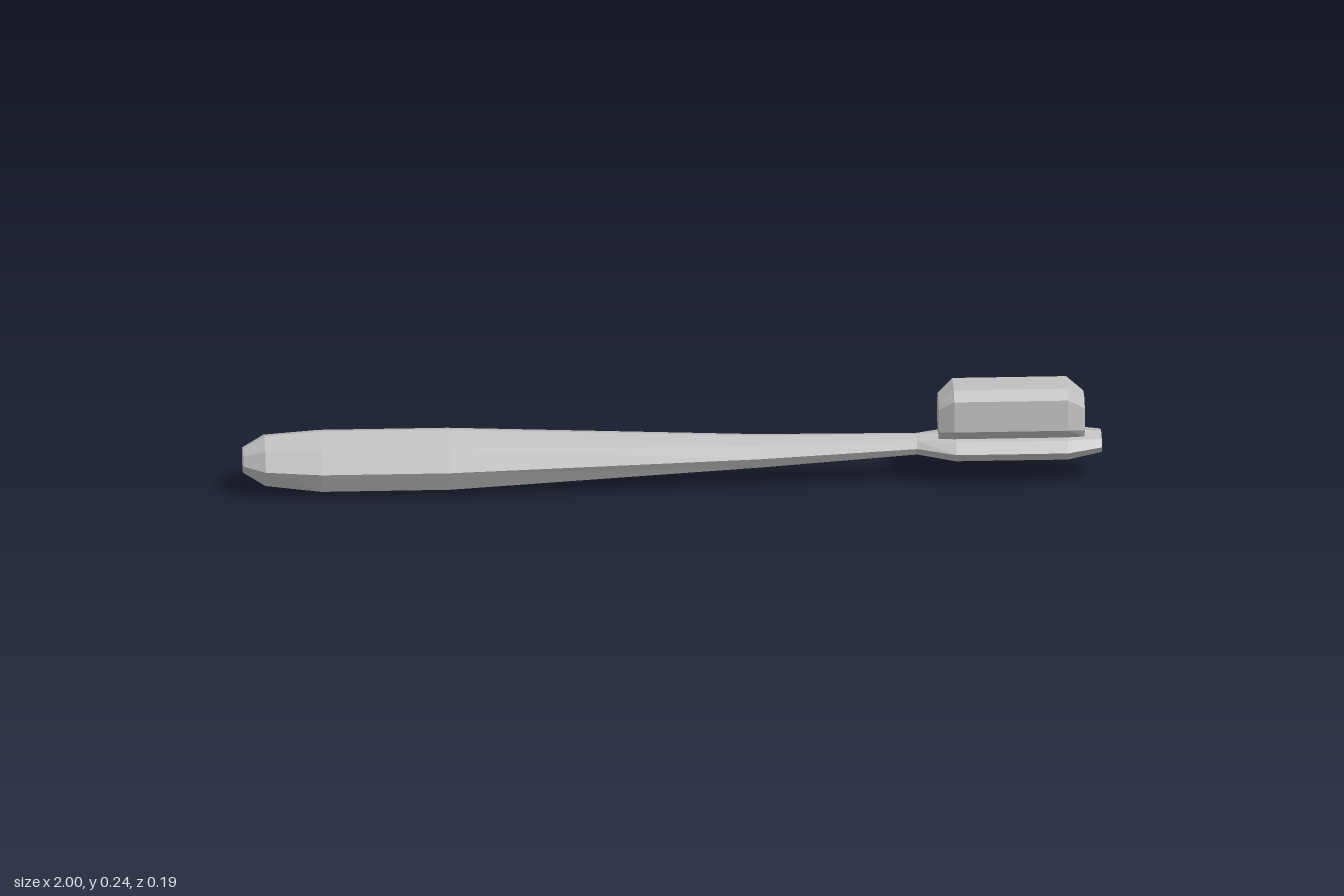
import * as THREE from 'three';

// Closed loft along +x; each section is [x, ring of [y, z]], running from +y towards +z
function loft(sections) {
  const n = sections[0][1].length;
  const pos = [], idx = [];
  for (const [x, ring] of sections) for (const [y, z] of ring) pos.push(x, y, z);
  for (let s = 0; s < sections.length - 1; s++) {
    for (let i = 0; i < n; i++) {
      const a = s * n + i, b = s * n + (i + 1) % n;
      idx.push(a, b, b + n, a, b + n, a + n);
    }
  }
  const last = (sections.length - 1) * n;
  for (let i = 1; i < n - 1; i++) {
    idx.push(0, i + 1, i);
    idx.push(last, last + i, last + i + 1);
  }
  const g = new THREE.BufferGeometry();
  g.setAttribute('position', new THREE.Float32BufferAttribute(pos, 3));
  g.setIndex(idx);
  const flat = g.toNonIndexed();
  flat.computeVertexNormals();
  return flat;
}

// Eight-sided oval between a bottom and top height
function oval(bottom, top, halfWidth) {
  const ring = [];
  for (let i = 0; i < 8; i++) {
    const a = i * Math.PI / 4;
    ring.push([(top + bottom) / 2 + Math.cos(a) * (top - bottom) / 2, Math.sin(a) * halfWidth]);
  }
  return ring;
}

// Mirrors one side of a section, listed from top to bottom, across z = 0
function mirrored(side) {
  return [...side, ...side.map(([y, z]) => [y, -z]).reverse()];
}

export function createModel() {
  const group = new THREE.Group();
  const grey = new THREE.MeshStandardMaterial({ color: 0xc0c0c0 });
  grey.name = 'light grey';

  // Handle, neck and head plate: x, bottom, top, half width
  const stations = [
    [-1, 0.05, 0.108, 0.043],
    [-0.95, 0.018, 0.137, 0.082],
    [-0.82, 0.001, 0.147, 0.096],
    [-0.52, 0.001, 0.147, 0.096],
    [0.2, 0.043, 0.119, 0.056],
    [0.57, 0.068, 0.117, 0.036],
    [0.66, 0.057, 0.123, 0.074],
    [0.92, 0.057, 0.123, 0.074],
    [1, 0.07, 0.117, 0.047],
  ];
  const handle = new THREE.Mesh(loft(stations.map(([x, b, t, w]) => [x, oval(b, t, w)])), grey);
  handle.name = 'handle';
  group.add(handle);

  // Bristle block with bevelled edges
  const full = mirrored([[0.239, 0.041], [0.218, 0.065], [0.143, 0.065], [0.117, 0.04]]);
  const end = mirrored([[0.208, 0.027], [0.19, 0.043], [0.135, 0.043], [0.115, 0.03]]);
  const bristles = new THREE.Mesh(loft([[0.62, end], [0.655, full], [0.92, full], [0.96, end]]), grey);
  bristles.name = 'bristles';
  group.add(bristles);

  return group;
}
